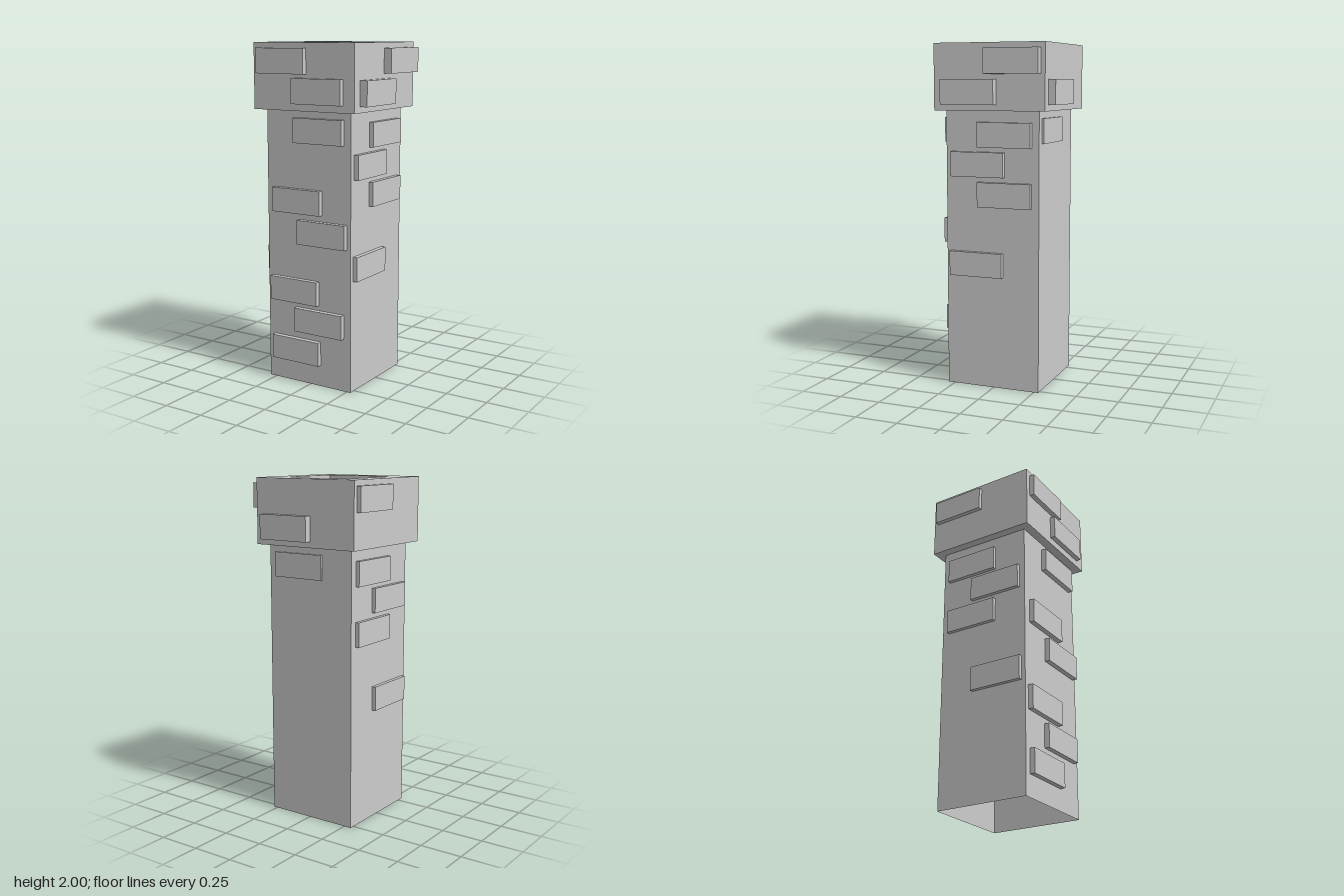
import * as THREE from 'three';

const grey = new THREE.MeshStandardMaterial({ color: 0xcccccc, flatShading: true, side: THREE.DoubleSide });
const CX = -0.01, CZ = 0.006; // axis of the masonry
const SHAFT = 0.569, CAP = 0.673, WELL = 0.452;
const CAP_Y = 1.62, FLOOR_Y = 1.77, TOP_Y = 2;

export function createModel() {
  const model = new THREE.Group();

  const add = (name, geometry, x, y, z, parent = model) => {
    const mesh = new THREE.Mesh(geometry, grey);
    mesh.name = name;
    mesh.position.set(x, y, z);
    parent.add(mesh);
    return mesh;
  };

  // Square wall ring without ends
  const walls = (name, width, y0, y1) => {
    const r = width / Math.SQRT2;
    const g = new THREE.CylinderGeometry(r, r, y1 - y0, 4, 1, true).rotateY(Math.PI / 4);
    return add(name, g, CX, (y0 + y1) / 2, CZ);
  };

  const square = (Type, w) => {
    const h = w / 2;
    return new Type([[-h, -h], [h, -h], [h, h], [-h, h]].map(p => new THREE.Vector2(...p)));
  };

  // Hollow shaft, open at the foot
  walls('shaft', SHAFT, 0, CAP_Y);

  // Cap: outer walls, underside, rim and sunken flue
  walls('capWalls', CAP, CAP_Y, TOP_Y);
  walls('flueWalls', WELL, FLOOR_Y, TOP_Y);
  add('capUnderside', new THREE.PlaneGeometry(CAP, CAP).rotateX(Math.PI / 2), CX, CAP_Y, CZ);
  add('flueFloor', new THREE.PlaneGeometry(WELL, WELL).rotateX(-Math.PI / 2), CX, FLOOR_Y, CZ);
  const rim = square(THREE.Shape, CAP);
  rim.holes.push(square(THREE.Path, WELL));
  add('capRim', new THREE.ShapeGeometry(rim).rotateX(-Math.PI / 2), CX, TOP_Y, CZ);

  // Raised bricks: [centre along the wall, centre height], with the outer face position
  const LENGTH = 0.325, HEIGHT = 0.143, DEPTH = 0.06;
  const sideShaft = [[-0.072, 1.483], [0.093, 1.313], [-0.072, 1.14], [0.103, 0.732]];
  const rows = [
    { name: 'frontShaftBricks', axis: 'z', sign: 1, face: 0.321, bricks: [
      [0.067, 1.507], [-0.081, 1.098], [0.088, 0.918], [-0.102, 0.563], [0.067, 0.389], [-0.092, 0.2]] },
    { name: 'frontCapBricks', axis: 'z', sign: 1, face: 0.373, bricks: [[-0.15, 1.897], [0.091, 1.732]] },
    { name: 'backShaftBricks', axis: 'z', sign: -1, face: 0.291, bricks: [[0.067, 1.507]] },
    { name: 'backCapBricks', axis: 'z', sign: -1, face: 0.373, bricks: [[0.111, 1.726]] },
    { name: 'leftShaftBricks', axis: 'x', sign: 1, face: 0.302, bricks: sideShaft },
    { name: 'leftCapBricks', axis: 'x', sign: 1, face: 0.373, bricks: [[-0.143, 1.897], [0.122, 1.726]] },
    { name: 'rightShaftBricks', axis: 'x', sign: -1, face: 0.317, bricks: sideShaft },
    { name: 'rightCapBricks', axis: 'x', sign: -1, face: 0.373, bricks: [[-0.143, 1.897]] },
  ];
  for (const { name, axis, sign, face, bricks } of rows) {
    const group = new THREE.Group();
    group.name = name;
    model.add(group);
    const out = sign * (face - DEPTH / 2);
    for (const [along, y] of bricks) {
      if (axis === 'z') add('brick', new THREE.BoxGeometry(LENGTH, HEIGHT, DEPTH), along, y, out, group);
      else add('brick', new THREE.BoxGeometry(DEPTH, HEIGHT, LENGTH), out, y, along, group);
    }
  }
  return model;
}
